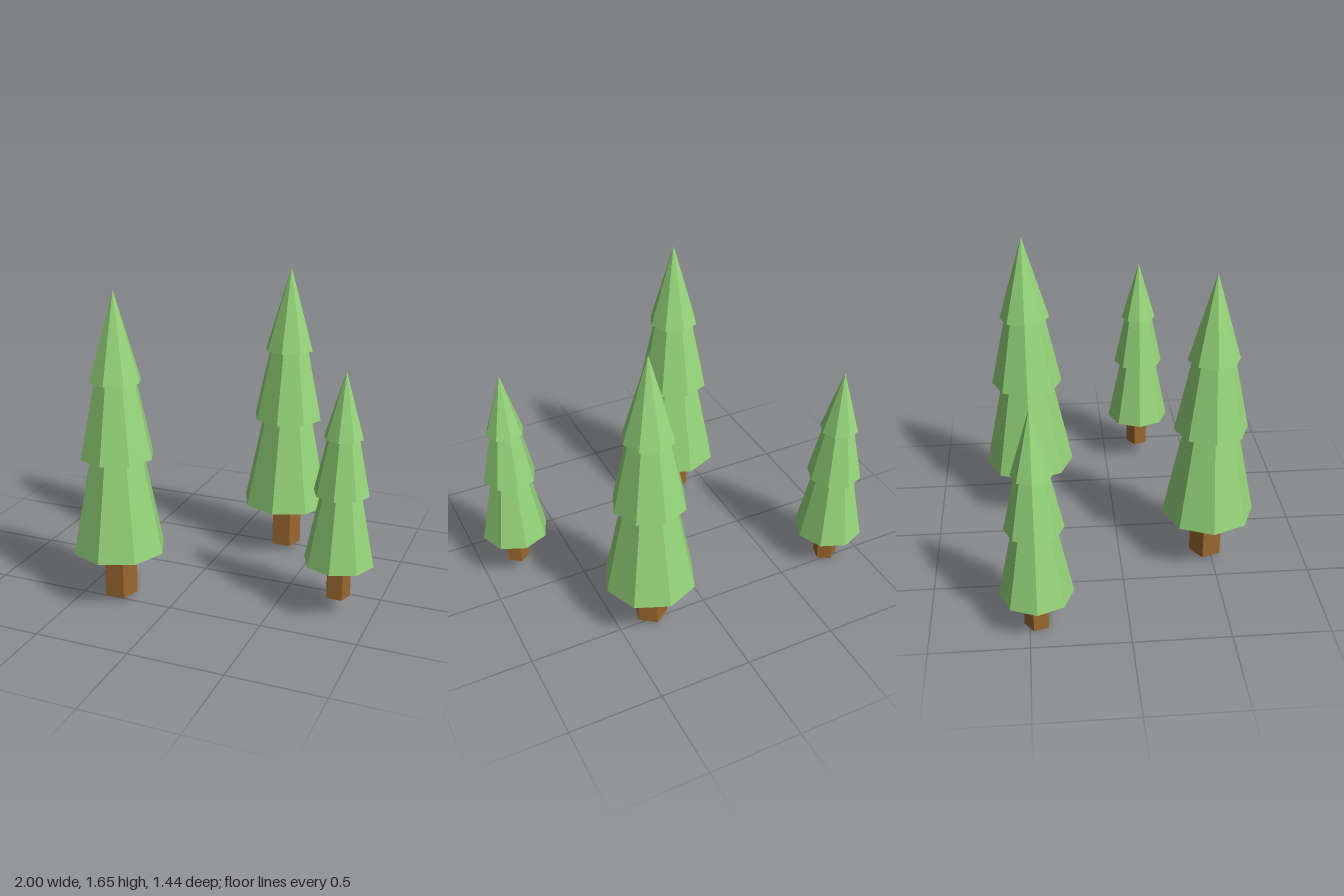
import * as THREE from 'three';

const leafMaterial = new THREE.MeshStandardMaterial({ color: 0x96d67a, flatShading: true });
const barkMaterial = new THREE.MeshStandardMaterial({ color: 0x9c692f, flatShading: true });

// Three stacked eight-sided tiers, as [radius, height] above the trunk's foot
const foliageProfile = [
  [0, 0.26], [0.246, 0.26], [0.142, 0.768],
  [0.194, 0.768], [0.11, 1.162],
  [0.135, 1.162], [0, 1.62],
].map(([r, y]) => new THREE.Vector2(r, y));

function createTree(name) {
  const tree = new THREE.Group();
  tree.name = name;

  const foliage = new THREE.Mesh(new THREE.LatheGeometry(foliageProfile, 8), leafMaterial);
  foliage.name = 'foliage';

  // Five-sided trunk with a flat face to the front, reaching into the foliage
  const trunkHeight = 0.3;
  const trunkGeometry = new THREE.CylinderGeometry(0.089, 0.089, trunkHeight, 5);
  trunkGeometry.rotateY(Math.PI).translate(0, trunkHeight / 2, 0);
  const trunk = new THREE.Mesh(trunkGeometry, barkMaterial);
  trunk.name = 'trunk';

  tree.add(foliage, trunk);
  return tree;
}

export function createModel() {
  const grove = new THREE.Group();
  grove.name = 'pineGrove';

  // Name, position of the trunk's foot, scale
  const trees = [
    ['smallTreeRight', [-0.815, 0, -0.46], 0.757],
    ['largeTreeFront', [-0.295, 0.028, 0.472], 1],
    ['largeTreeBack', [0.31, 0.028, -0.474], 1],
    ['smallTreeLeft', [0.815, 0.092, 0.205], 0.738],
  ];
  for (const [name, position, scale] of trees) {
    const tree = createTree(name);
    tree.position.set(...position);
    tree.scale.setScalar(scale);
    grove.add(tree);
  }
  return grove;
}
